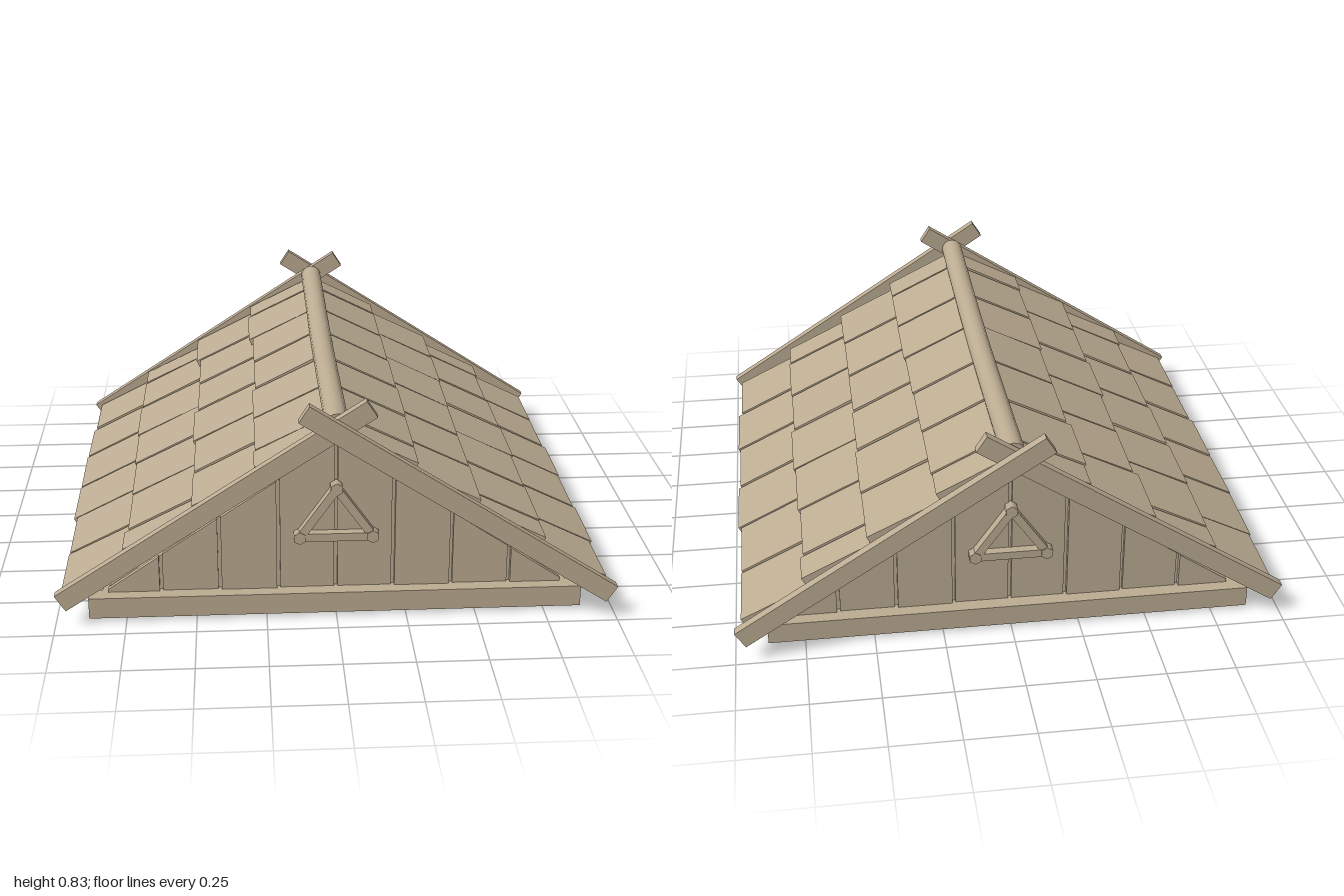
import * as THREE from 'three';

const PITCH = Math.atan(0.648);

export function createModel() {
  const root = new THREE.Group();
  root.name = 'gableRoof';
  const wood = new THREE.MeshStandardMaterial({ color: 0xbcac92 });
  wood.name = 'weathered wood';

  let seed = 7;
  const jitter = (a) => {
    seed = (seed * 16807) % 2147483647;
    return (seed / 2147483647 - 0.5) * 2 * a;
  };
  const add = (name, geometry, parent = root) => {
    const mesh = new THREE.Mesh(geometry, wood);
    mesh.name = name;
    parent.add(mesh);
    return mesh;
  };
  const box = (name, w, h, d, x, y, z, parent) => {
    const mesh = add(name, new THREE.BoxGeometry(w, h, d), parent);
    mesh.position.set(x, y, z);
    return mesh;
  };
  // Sloping board: (x, y) is its lower top edge, it runs up towards the ridge
  const slopeBoard = (name, side, x, y, length, thick, width, z, angle, parent) => {
    const c = Math.cos(angle), s = Math.sin(angle);
    const mesh = box(name, length, thick, width,
      side * (x - c * length / 2 - s * thick / 2),
      y + s * length / 2 - c * thick / 2, z, parent);
    mesh.rotation.z = -side * angle;
    return mesh;
  };
  const extrude = (points, depth) => new THREE.ExtrudeGeometry(
    new THREE.Shape(points.map(([x, y]) => new THREE.Vector2(x, y))),
    { depth, bevelEnabled: false });

  // Floor slab and tie beams
  box('floorSlab', 1.67, 0.09, 1.76, 0, 0.045, 0);
  for (const end of [1, -1]) box('tieBeam', 1.765, 0.078, 0.065, 0, 0.052, end * 0.875);

  // Gable walls: backing panel, vertical planks with grooves, emblem of three bars
  const gableTop = (x) => 0.65 - 0.672 * Math.abs(x);
  const gable = new THREE.Group();
  gable.name = 'gable';
  add('backingPanel', extrude([[-0.83, 0.08], [0.83, 0.08], [0, 0.66]], 0.03), gable).position.z = 0.81;
  const seams = [0, 0.205, 0.415, 0.625, 0.82];
  for (const side of [1, -1]) {
    for (let i = 0; i < 4; i++) {
      const a = seams[i] + 0.006, b = seams[i + 1] - 0.006;
      const points = [[a, 0.08], [b, 0.08], [b, Math.max(gableTop(b), 0.082)], [a, gableTop(a)]]
        .map(([x, y]) => [side * x, y]);
      add('plank', extrude(points, 0.014 + 0.006 * (i % 2)), gable).position.z = 0.84;
    }
  }
  const corners = [[0, 0.485], [0.13, 0.3], [-0.13, 0.3]];
  corners.forEach(([x, y], i) => {
    const [x2, y2] = corners[(i + 1) % 3];
    const bar = box('emblemBar', Math.hypot(x2 - x, y2 - y) + 0.02, 0.03, 0.03 + 0.003 * i,
      (x + x2) / 2, (y + y2) / 2, 0.872, gable);
    bar.rotation.z = Math.atan2(y2 - y, x2 - x);
    const knot = add('emblemKnot', new THREE.CylinderGeometry(0.024, 0.024, 0.042, 6), gable);
    knot.position.set(x, y, 0.872);
    knot.rotation.x = Math.PI / 2;
  });
  root.add(gable);
  const backGable = gable.clone();
  backGable.name = 'backGable';
  backGable.rotation.y = Math.PI;
  root.add(backGable);

  // Rafters with tails showing under the eaves
  for (const side of [1, -1])
    for (const z of [-0.73, -0.365, 0, 0.365, 0.73])
      slopeBoard('rafter', side, 0.953, 0.062, 1.12, 0.04, 0.06, z, PITCH);

  // Shingles: four lapped courses a side, alternate courses shifted by half
  const courses = [[0.28, 0.588, 0.28], [0.51, 0.44, 0.36], [0.75, 0.284, 0.36], [0.977, 0.125, 0.36]];
  for (const side of [1, -1]) {
    const slope = new THREE.Group();
    slope.name = side > 0 ? 'leftShingles' : 'rightShingles';
    root.add(slope);
    courses.forEach(([x, y, length], row) => {
      const cuts = row % 2 ? [-0.915, -0.614, -0.307, 0, 0.307, 0.614, 0.91]
        : [-0.915, -0.77, -0.463, -0.155, 0.155, 0.457, 0.76, 0.91];
      for (let i = 0; i < cuts.length - 1; i++) {
        const slip = jitter(0.01);
        const shingle = slopeBoard('shingle', side, x + slip, y - slip * 0.6, length, 0.027,
          cuts[i + 1] - cuts[i] - 0.012, (cuts[i] + cuts[i + 1]) / 2,
          PITCH - 0.115 + jitter(0.008), slope);
        shingle.rotation.x = jitter(0.015);
      }
    });
  }

  // Sagging ridge pole
  const pole = new THREE.CylinderGeometry(0.043, 0.043, 1.82, 16, 16);
  pole.rotateX(Math.PI / 2);
  const p = pole.attributes.position;
  for (let i = 0; i < p.count; i++) {
    const t = p.getZ(i) / 0.91;
    p.setY(i, p.getY(i) - 0.027 * (1 - Math.pow(Math.abs(t), 1.5)));
  }
  pole.computeVertexNormals();
  add('ridgePole', pole).position.y = 0.735;

  // Crossed barge boards at both ends
  for (const [side, z] of [[1, 0.967], [-1, 0.929], [1, -0.973], [-1, -0.937]])
    slopeBoard('bargeBoard', side, 0.997, 0.125, 1.305, 0.07, 0.036, z, PITCH);

  return root;
}
